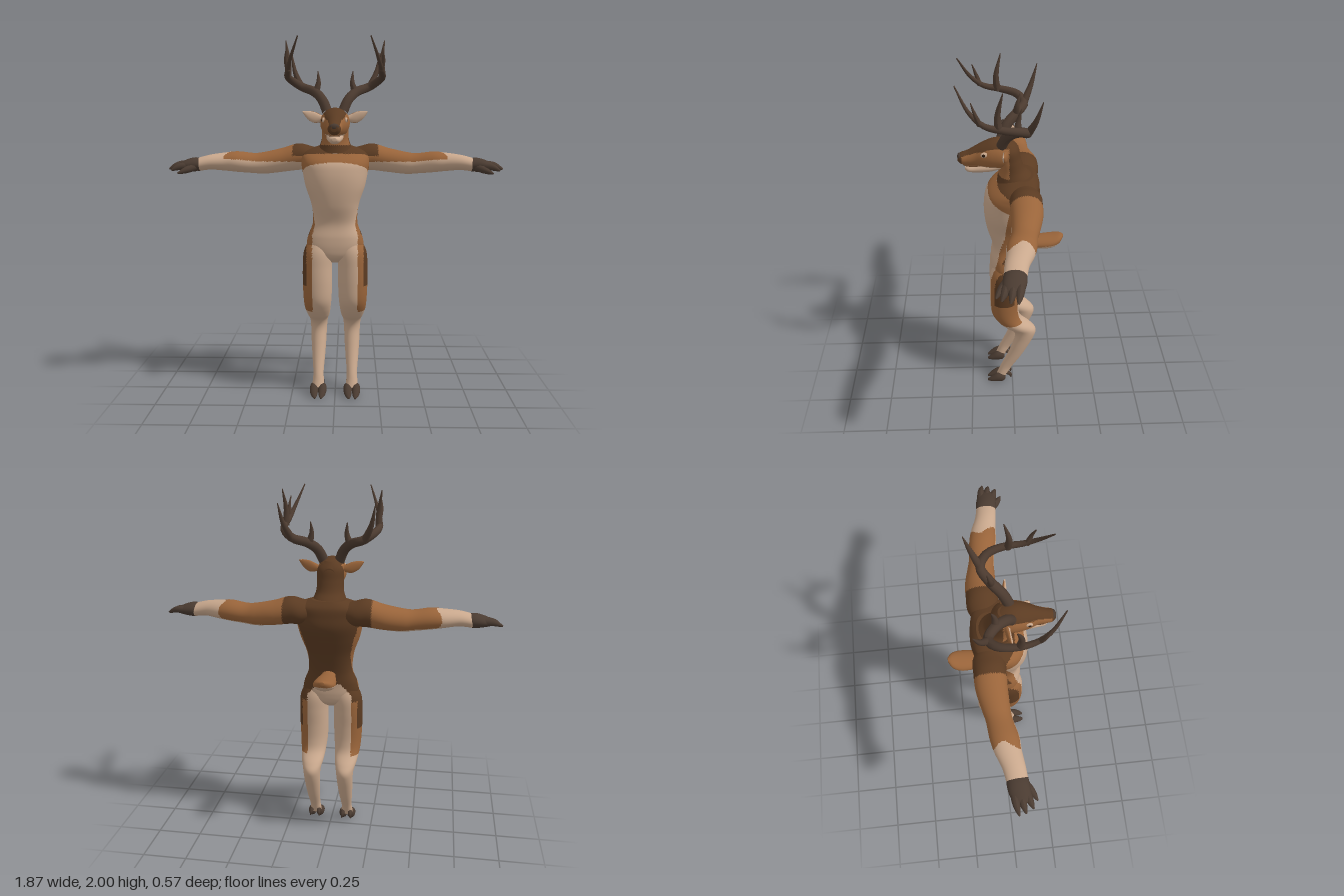
import * as THREE from 'three';

const mat = (name, color) => Object.assign(new THREE.MeshStandardMaterial({ color }), { name });
const dark = mat('dark brown fur', 0x5b3b22), mid = mat('tawny fur', 0x99643a), pale = mat('pale fur', 0xc9a88d);
const antlerMat = mat('antler', 0x4b3a2f), hoofMat = mat('hoof', 0x4a3b31), eyeMat = mat('eye', 0x2a1a10);
const FUR = [dark, mid, pale], DARK = 0, MID = 1, PALE = 2;

// Piecewise linear lookup in [[t, value], ...]
function ramp(t, table) {
  if (t <= table[0][0]) return table[0][1];
  for (let i = 1; i < table.length; i++) {
    const [t0, v0] = table[i - 1], [t1, v1] = table[i];
    if (t <= t1) return v0 + (v1 - v0) * (t - t0) / (t1 - t0);
  }
  return table[table.length - 1][1];
}

// Uniform Catmull-Rom through rows of numbers
function rowAt(rows, t) {
  const f = t * (rows.length - 1), i = Math.min(Math.floor(f), rows.length - 2), u = f - i;
  const at = k => rows[Math.max(0, Math.min(rows.length - 1, k))];
  const [a, b, c, d] = [at(i - 1), at(i), at(i + 1), at(i + 2)];
  return b.map((_, k) => 0.5 * (2 * b[k] + (c[k] - a[k]) * u + (2 * a[k] - 5 * b[k] + 4 * c[k] - d[k]) * u * u
    + (3 * b[k] - a[k] - 3 * c[k] + d[k]) * u * u * u));
}

// Closed skin over sections [x, y, z, r1, r2]; r1 and r2 lie along the axes u and v (0 x, 1 y, 2 z).
// paint is a material, or a rule giving the fur index at a point.
function loft(name, rows, u, v, paint, { ring = 32, steps = 40, power = 2 } = {}) {
  const pos = [], tris = [];
  const bend = c => Math.sign(c) * Math.pow(Math.abs(c), 2 / power);
  for (let j = 0; j <= steps; j++) {
    const r = rowAt(rows, j / steps);
    for (let i = 0; i < ring; i++) {
      const a = i / ring * Math.PI * 2, p = [r[0], r[1], r[2]];
      p[u] += r[3] * bend(Math.cos(a));
      p[v] += r[4] * bend(Math.sin(a));
      pos.push(...p);
    }
  }
  const first = pos.length / 3, last = rows[rows.length - 1];
  pos.push(...rows[0].slice(0, 3), ...last.slice(0, 3));
  for (let i = 0; i < ring; i++) {
    const n = (i + 1) % ring, top = steps * ring;
    tris.push([first, n, i], [first + 1, top + i, top + n]);
    for (let j = 0; j < steps; j++) {
      const a = j * ring + i, b = j * ring + n;
      tris.push([a, b, b + ring], [a, b + ring, a + ring]);
    }
  }
  // Turn the skin outward if its signed volume is negative
  const P = k => new THREE.Vector3(pos[k * 3], pos[k * 3 + 1], pos[k * 3 + 2]);
  const o = P(first);
  const volume = tris.reduce((s, t) => s + P(t[0]).sub(o).dot(P(t[1]).sub(o).cross(P(t[2]).sub(o))), 0);
  if (volume < 0) tris.forEach(t => t.reverse());

  const geo = new THREE.BufferGeometry();
  geo.setAttribute('position', new THREE.Float32BufferAttribute(pos, 3));
  const index = [], isRule = typeof paint === 'function';
  if (isRule) {
    const sorted = FUR.map(() => []);
    for (const t of tris) {
      const c = P(t[0]).add(P(t[1])).add(P(t[2])).divideScalar(3);
      sorted[paint(c.x, c.y, c.z)].push(...t);
    }
    sorted.forEach((list, k) => {
      if (list.length) geo.addGroup(index.length, list.length, k);
      for (const i of list) index.push(i);
    });
  } else for (const t of tris) index.push(...t);
  geo.setIndex(index);
  geo.computeVertexNormals();
  const mesh = new THREE.Mesh(geo, isRule ? FUR : paint);
  mesh.name = name;
  return mesh;
}

// Tapered tube through points, for antlers and fingers
function horn(name, points, r0, r1, material, s, bulge = 1) {
  const curve = new THREE.CatmullRomCurve3(points.map(p => new THREE.Vector3(p[0] * s, p[1], p[2])));
  const seg = 28, sides = 12, geo = new THREE.TubeGeometry(curve, seg, 1, sides), p = geo.attributes.position;
  const q = new THREE.Vector3();
  for (let i = 0; i < p.count; i++) {
    const t = Math.floor(i / (sides + 1)) / seg, c = curve.getPointAt(t);
    q.fromBufferAttribute(p, i).sub(c).multiplyScalar(r1 + (r0 - r1) * (1 - Math.pow(t, bulge))).add(c);
    p.setXYZ(i, q.x, q.y, q.z);
  }
  geo.computeVertexNormals();
  const mesh = new THREE.Mesh(geo, material);
  mesh.name = name;
  return mesh;
}

function ball(name, material, at, scale) {
  const mesh = new THREE.Mesh(new THREE.SphereGeometry(1, 20, 14), material);
  mesh.position.set(...at);
  mesh.scale.set(...scale);
  mesh.name = name;
  return mesh;
}

// Coat markings
const TAWNY = [[0.93, 0.085], [1, 0.07], [1.1, 0.04], [1.2, 0.03], [1.28, 0.02], [1.32, 0.1], [1.345, 0.14], [1.36, 0.2]];
const SADDLE = [[0.93, 0.06], [1, 0.02], [1.1, -0.03], [1.2, -0.07], [1.27, -0.08], [1.34, -0.05], [1.38, 0.04], [1.4, 0.2]];
function bodyCoat(x, y, z) {
  const a = Math.abs(x);
  if (y < 0.93) { // thighs and rump
    const edge = z > 0.03 ? 0.127 : Math.min(0.127, 0.03 + (0.97 - y) * 0.85);
    if (y < 0.49 || a < edge) return PALE;
    return y > 0.65 && (a > 0.16 || (z < 0.03 && y > 0.82)) ? DARK : MID;
  }
  if (a > 0.19 && y > 1.24) { // arms
    if (a > 0.6 + 0.02 * Math.sin(z * 40) || y < 1.3 + 0.5 * (z + 0.06)) return PALE;
    return a < 0.24 && z < ramp(y, SADDLE) ? DARK : MID;
  }
  return z < ramp(y, SADDLE) ? DARK : z < ramp(y, TAWNY) ? MID : PALE;
}
function headCoat(x, y, z) {
  if (z > 0.08 && y < 1.492) return PALE;
  const crown = z > 0.1 ? 1.6 - 0.35 * (z - 0.1) : 1.6;
  if (z > 0.262 || z < 0.015 || y < 1.43 || y > crown) return DARK;
  return MID;
}

export function createModel() {
  const model = new THREE.Group();
  model.name = 'standing stag';
  const fine = { ring: 56, steps: 90 };

  model.add(loft('torso', [
    [0, 0.775, 0.04, 0.03, 0.03], [0, 0.81, 0.04, 0.12, 0.068], [0, 0.86, 0.039, 0.158, 0.081], [0, 0.92, 0.037, 0.153, 0.083],
    [0, 1.0, 0.028, 0.125, 0.083], [0, 1.1, 0.027, 0.132, 0.112], [0, 1.2, 0.015, 0.165, 0.138],
    [0, 1.28, 0.0, 0.182, 0.15], [0, 1.34, -0.01, 0.19, 0.14], [0, 1.39, -0.035, 0.18, 0.108], [0, 1.425, -0.045, 0.09, 0.07]
  ], 0, 2, bodyCoat, { ring: 72, steps: 110, power: 2.3 }));
  model.add(loft('neck', [
    [0, 1.35, -0.02, 0.12, 0.11], [0, 1.41, -0.02, 0.095, 0.095], [0, 1.46, 0.0, 0.076, 0.07],
    [0, 1.52, 0.014, 0.073, 0.062], [0, 1.58, 0.02, 0.07, 0.055], [0, 1.62, 0.025, 0.03, 0.03]
  ], 0, 2, headCoat, { ring: 48, steps: 48 }));
  model.add(loft('head', [
    [0, 1.555, -0.035, 0.03, 0.03], [0, 1.555, -0.005, 0.065, 0.06], [0, 1.553, 0.05, 0.08, 0.08], [0, 1.55, 0.1, 0.077, 0.081],
    [0, 1.544, 0.15, 0.063, 0.068], [0, 1.538, 0.19, 0.047, 0.053], [0, 1.528, 0.23, 0.04, 0.04],
    [0, 1.524, 0.265, 0.034, 0.031], [0, 1.526, 0.284, 0.018, 0.017]
  ], 0, 1, headCoat, { ring: 48, steps: 60 }));
  model.add(loft('lowerJaw', [
    [0, 1.49, 0.05, 0.045, 0.025], [0, 1.476, 0.12, 0.046, 0.028], [0, 1.466, 0.19, 0.034, 0.023],
    [0, 1.464, 0.23, 0.027, 0.018], [0, 1.468, 0.248, 0.012, 0.009]
  ], 0, 1, pale));
  model.add(ball('nose', hoofMat, [0, 1.534, 0.272], [0.026, 0.018, 0.014]));
  model.add(ball('mouthLine', dark, [0, 1.487, 0.2], [0.033, 0.004, 0.06]));

  model.add(loft('tail', [
    [0, 0.99, -0.01, 0.03, 0.025], [0, 0.985, -0.08, 0.044, 0.027], [0, 0.985, -0.15, 0.057, 0.035],
    [0, 0.992, -0.22, 0.06, 0.036], [0, 1.007, -0.265, 0.044, 0.027], [0, 1.022, -0.288, 0.012, 0.01]
  ], 0, 1, (x, y, z) => y > 0.972 - 0.14 * (z + 0.1) ? MID : PALE));

  for (const s of [1, -1]) {
    const side = s > 0 ? 'left' : 'right';
    const flip = rows => rows.map(r => [r[0] * s, ...r.slice(1)]);

    // Arm and hand
    model.add(loft(side + 'Arm', flip([
      [0.06, 1.36, -0.06, 0.05, 0.04], [0.14, 1.355, -0.066, 0.083, 0.066], [0.21, 1.36, -0.067, 0.085, 0.075],
      [0.3, 1.342, -0.067, 0.082, 0.068], [0.4, 1.326, -0.055, 0.072, 0.062], [0.46, 1.325, -0.045, 0.068, 0.057],
      [0.55, 1.334, -0.03, 0.074, 0.058], [0.62, 1.335, -0.02, 0.068, 0.051], [0.7, 1.333, 0.0, 0.058, 0.042],
      [0.77, 1.32, 0.01, 0.054, 0.037]
    ]), 2, 1, bodyCoat, fine));
    const hand = new THREE.Group();
    hand.name = side + 'Hand';
    hand.add(loft('palm', flip([
      [0.755, 1.322, 0.01, 0.054, 0.037], [0.79, 1.321, 0.012, 0.056, 0.039], [0.83, 1.318, 0.016, 0.053, 0.031],
      [0.865, 1.314, 0.018, 0.04, 0.02], [0.88, 1.312, 0.018, 0.02, 0.01]
    ]), 2, 1, hoofMat));
    const fingers = [
      [[0.83, 1.32, -0.012], [0.88, 1.318, -0.008], [0.932, 1.298, 0.002]],
      [[0.83, 1.318, 0.022], [0.88, 1.315, 0.026], [0.925, 1.297, 0.036]],
      [[0.82, 1.315, 0.048], [0.865, 1.31, 0.06], [0.905, 1.293, 0.075]],
      [[0.78, 1.31, 0.045], [0.82, 1.295, 0.075], [0.865, 1.278, 0.1]]
    ];
    for (const f of fingers) hand.add(horn('finger', f, 0.021, 0.004, hoofMat, s, 2.5));
    model.add(hand);

    // Leg, cloven hoof and dewclaws
    model.add(loft(side + 'Leg', flip([
      [0.085, 0.92, 0.035, 0.05, 0.05], [0.095, 0.84, 0.04, 0.08, 0.082], [0.1, 0.75, 0.044, 0.083, 0.085],
      [0.1, 0.65, 0.048, 0.083, 0.082], [0.1, 0.56, 0.043, 0.079, 0.079], [0.1, 0.5, 0.018, 0.073, 0.073],
      [0.098, 0.45, -0.032, 0.064, 0.08], [0.097, 0.41, -0.07, 0.052, 0.07], [0.097, 0.36, -0.073, 0.047, 0.057],
      [0.097, 0.28, -0.045, 0.043, 0.049], [0.097, 0.2, -0.01, 0.037, 0.043], [0.097, 0.12, 0.032, 0.03, 0.036],
      [0.097, 0.08, 0.05, 0.032, 0.033], [0.097, 0.045, 0.065, 0.036, 0.032]
    ]), 0, 2, bodyCoat, fine));
    const foot = new THREE.Group();
    foot.name = side + 'Hoof';
    for (const d of [-1, 1]) {
      const x = 0.097 + d * 0.024;
      foot.add(loft('toe', flip([
        [x, 0.035, 0.045, 0.012, 0.015], [x, 0.034, 0.06, 0.023, 0.029], [x, 0.03, 0.095, 0.024, 0.029],
        [x - d * 0.002, 0.017, 0.13, 0.018, 0.016], [x - d * 0.006, 0.006, 0.155, 0.006, 0.005]
      ]), 0, 1, hoofMat, { ring: 24, steps: 20 }));
      foot.add(horn('dewclaw', [[x - d * 0.004, 0.068, 0.035], [x, 0.055, 0.015], [x + d * 0.003, 0.03, 0.01]], 0.013, 0.002, hoofMat, s, 2));
    }
    model.add(foot);

    // Ear with pale inside
    model.add(loft(side + 'Ear', flip([
      [0.06, 1.575, 0.035, 0.014, 0.012], [0.085, 1.577, 0.035, 0.014, 0.022], [0.115, 1.582, 0.038, 0.013, 0.03],
      [0.15, 1.594, 0.043, 0.01, 0.023], [0.178, 1.612, 0.048, 0.003, 0.003]
    ]), 2, 1, (x, y, z) => z > 0.041 + 0.06 * (Math.abs(x) - 0.1) ? PALE : MID));

    // Eye with pale rim
    model.add(ball(side + 'EyeRim', pale, [s * 0.06, 1.568, 0.143], [0.009, 0.015, 0.02]));
    model.add(ball(side + 'Eye', eyeMat, [s * 0.061, 1.568, 0.146], [0.011, 0.01, 0.011]));

    // Antler: main beam and tines
    const antler = new THREE.Group();
    antler.name = side + 'Antler';
    const beam = [[0.042, 1.61, 0.055], [0.07, 1.675, 0.025], [0.118, 1.722, -0.03], [0.185, 1.748, -0.07], [0.235, 1.778, -0.035],
      [0.256, 1.798, 0.05], [0.25, 1.82, 0.14], [0.23, 1.88, 0.21], [0.185, 1.995, 0.275]];
    antler.add(horn('beam', beam, 0.028, 0.003, antlerMat, s, 1.6));
    const tines = [
      [[0.11, 1.715, -0.025], [0.094, 1.77, -0.03], [0.097, 1.835, -0.045]],
      [[0.19, 1.745, -0.07], [0.228, 1.83, -0.108], [0.25, 1.938, -0.14]],
      [[0.254, 1.795, 0.07], [0.25, 1.87, 0.075], [0.265, 1.99, 0.05]],
      [[0.245, 1.825, 0.16], [0.255, 1.88, 0.18], [0.25, 1.938, 0.2]]
    ];
    tines.forEach((t, i) => antler.add(horn('tine', t, i === 3 ? 0.014 : 0.02, 0.002, antlerMat, s, 1.3)));
    model.add(antler);
  }
  return model;
}
